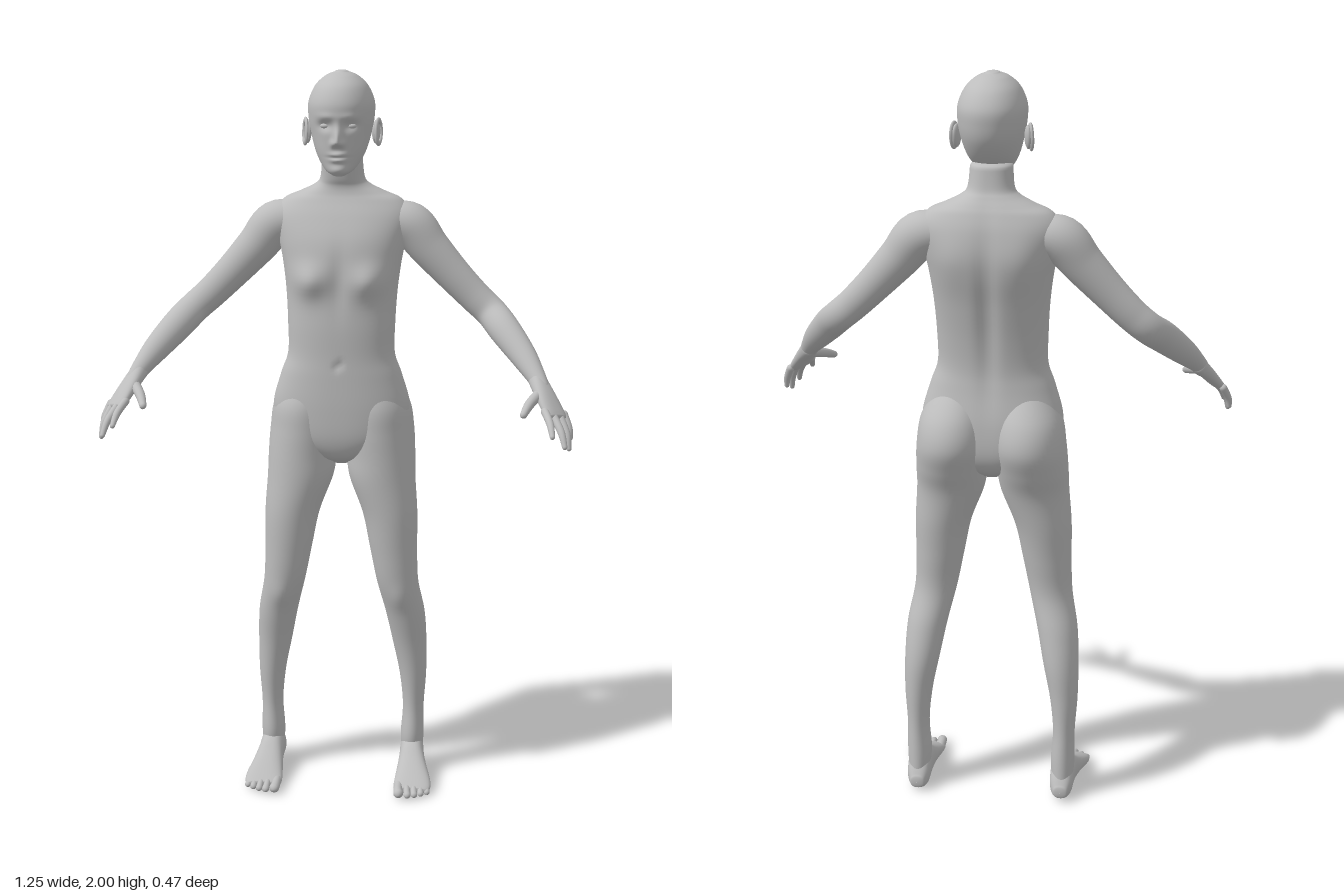
import * as THREE from 'three';

const V = (x, y, z) => new THREE.Vector3(x, y, z);
const skin = new THREE.MeshStandardMaterial({ color: 0xbdbdbd });
skin.name = 'grey skin';

// Catmull-Rom blend of one number through four rows
function blend(a, b, c, d, t) {
  return 0.5 * (2 * b + (c - a) * t + (2 * a - 5 * b + 4 * c - d) * t * t + (3 * b - a - 3 * c + d) * t * t * t);
}

// Smooth skin through rows [x, y, z, radius along u, radius across u].
// A fixed axis keeps every slice parallel; otherwise slices follow the path.
function loft(rows, u, { axis = null, seg = 32, steps = 6, cap = 1, power = 2, rule = null } = {}) {
  const path = [];
  const n = rows.length - 1;
  const row = (i) => rows[Math.max(0, Math.min(n, i))];
  for (let k = 0; k <= n * steps; k++) {
    const i = Math.min(n - 1, Math.floor(k / steps));
    const t = k / steps - i;
    path.push(row(i).map((_, c) => blend(row(i - 1)[c], row(i)[c], row(i + 1)[c], row(i + 2)[c], t)));
  }
  const rings = path.map((r, i) => {
    const a = path[Math.max(0, i - 1)], b = path[Math.min(path.length - 1, i + 1)];
    const t = axis ? axis.clone() : V(b[0] - a[0], b[1] - a[1], b[2] - a[2]).normalize();
    return { c: V(r[0], r[1], r[2]), t, a: r[3], b: r[4] };
  });
  // Rounded ends
  const end = (ring, sign) => [0.35, 0.7, 1.05, 1.35, 1.55].map((w) => ({
    c: ring.c.clone().addScaledVector(ring.t, sign * cap * Math.min(ring.a, ring.b) * Math.sin(w)),
    t: ring.t, a: ring.a * Math.cos(w), b: ring.b * Math.cos(w),
  }));
  const all = [...end(rings[0], -1).reverse(), ...rings, ...end(rings[rings.length - 1], 1)];
  const pos = [], idx = [];
  const bulge = (x) => Math.sign(x) * Math.pow(Math.abs(x), 2 / power);
  all.forEach((r, j) => {
    const v = r.t.clone().cross(u).normalize();
    const w = v.clone().cross(r.t);
    for (let i = 0; i < seg; i++) {
      const q = (i / seg) * Math.PI * 2;
      const p = r.c.clone().addScaledVector(w, r.a * bulge(Math.cos(q))).addScaledVector(v, r.b * bulge(Math.sin(q)));
      if (rule) rule(p);
      pos.push(p.x, p.y, p.z);
      if (j < all.length - 1) {
        const a = j * seg + i, b = j * seg + (i + 1) % seg;
        idx.push(a, b, b + seg, a, b + seg, a + seg);
      }
    }
  });
  const g = new THREE.BufferGeometry();
  g.setAttribute('position', new THREE.Float32BufferAttribute(pos, 3));
  g.setIndex(idx);
  g.computeVertexNormals();
  return g;
}

// Horizontal slice from [y, centre x, half width, front z, back z]
const slice = ([y, x, rx, zf, zb]) => [x, y, (zf + zb) / 2, rx, (zf - zb) / 2];
// Soft bump of height 1 centred on (x, y)
const bump = (p, x, y, sx, sy) => Math.exp(-(((p.x - x) / sx) ** 2) - (((p.y - y) / sy) ** 2));
const pair = (p, x, y, sx, sy) => bump(p, x, y, sx, sy) + bump(p, -x, y, sx, sy);

function mirrored(geo) {
  const g = geo.clone().scale(-1, 1, 1);
  const ix = g.index.array;
  for (let i = 0; i < ix.length; i += 3) [ix[i], ix[i + 1]] = [ix[i + 1], ix[i]];
  g.computeVertexNormals();
  return g;
}

function ellipsoid(x, y, z, rx, ry, rz) {
  return new THREE.SphereGeometry(1, 24, 16).scale(rx, ry, rz).translate(x, y, z);
}

export function createModel() {
  const model = new THREE.Group();
  model.name = 'figure';
  const add = (name, geo) => {
    const m = new THREE.Mesh(geo, skin);
    m.name = name;
    model.add(m);
  };
  const both = (name, geo) => {
    add('left ' + name, geo);
    add('right ' + name, mirrored(geo));
  };
  const X = V(1, 0, 0), Y = V(0, 1, 0), Z = V(0, 0, 1);

  // Torso and neck, with chest, spine groove and navel
  add('torso', loft([
    [1.77, 0, 0.054, -0.055, -0.165], [1.72, 0, 0.059, -0.068, -0.173], [1.70, 0, 0.075, -0.075, -0.183],
    [1.68, 0, 0.115, -0.073, -0.196], [1.66, 0, 0.158, -0.064, -0.207], [1.62, 0, 0.182, -0.042, -0.221],
    [1.56, 0, 0.172, -0.016, -0.229], [1.50, 0, 0.160, -0.005, -0.224], [1.42, 0, 0.150, -0.004, -0.206],
    [1.33, 0, 0.145, 0, -0.188], [1.25, 0, 0.145, 0, -0.179], [1.19, 0, 0.165, 0.002, -0.183],
    [1.10, 0, 0.187, 0.004, -0.198], [1.02, 0, 0.165, 0, -0.198], [0.97, 0, 0.085, -0.02, -0.175],
    [0.945, 0, 0.03, -0.06, -0.14],
  ].map(slice), X, {
    axis: V(0, -1, 0), seg: 96, cap: 0.3, power: 2.25,
    rule: (p) => {
      if (p.z > -0.06) {
        p.z += 0.026 * pair(p, 0.08, 1.455, 0.045, 0.042) - 0.006 * bump(p, 0, 1.46, 0.02, 0.08);
        p.z -= 0.008 * bump(p, 0, 1.23, 0.009, 0.012);
      } else if (p.z < -0.13) {
        p.z += 0.013 * bump(p, 0, 1.4, 0.024, 0.2) - 0.008 * pair(p, 0.09, 1.55, 0.05, 0.07);
      }
    },
  }));

  // Legs, whose rounded tops form the seat
  both('leg', loft([
    [1.18, 0.088, 0.06, -0.03, -0.165], [1.11, 0.098, 0.088, -0.004, -0.222], [1.04, 0.102, 0.096, 0, -0.24],
    [0.97, 0.108, 0.095, 0, -0.216], [0.90, 0.114, 0.091, 0, -0.186], [0.80, 0.136, 0.076, -0.003, -0.168],
    [0.70, 0.147, 0.066, -0.01, -0.153], [0.60, 0.159, 0.058, -0.02, -0.145], [0.50, 0.180, 0.055, -0.045, -0.168],
    [0.40, 0.193, 0.048, -0.07, -0.184], [0.30, 0.203, 0.038, -0.085, -0.184], [0.20, 0.205, 0.030, -0.095, -0.181],
    [0.11, 0.203, 0.033, -0.09, -0.184], [0.05, 0.203, 0.029, -0.1, -0.186],
  ].map(slice), X, {
    axis: V(0, -1, 0), seg: 48, cap: 0.4,
    rule: (p) => { if (p.z > -0.06) p.z += 0.006 * bump(p, 0.165, 0.56, 0.03, 0.035); },
  }));

  // Feet: rows [z, centre x, half width, bottom, top]
  both('foot', loft([
    [-0.195, 0.202, 0.02, 0.012, 0.05], [-0.17, 0.202, 0.031, 0, 0.085], [-0.13, 0.203, 0.034, 0, 0.11],
    [-0.09, 0.205, 0.036, 0, 0.097], [-0.05, 0.208, 0.042, 0.003, 0.072], [0, 0.212, 0.051, 0, 0.046],
    [0.03, 0.212, 0.052, 0.001, 0.031], [0.045, 0.211, 0.045, 0.004, 0.023],
  ].map(([z, x, rx, lo, hi]) => [x, (lo + hi) / 2, z, rx, (hi - lo) / 2]), X, { axis: Z, cap: 0.25, power: 2.3 }));
  [[0.174, 0.083, 0.014], [0.199, 0.08, 0.01], [0.218, 0.074, 0.0095], [0.236, 0.064, 0.009], [0.253, 0.052, 0.0085]]
    .forEach(([x, z, r], i) => both('toe ' + (i + 1), loft([
      [x, 0.018, 0.015, r * 0.9, r * 0.9], [x, 0.017, z - 0.03, r * 0.9, r * 0.9],
      [x + 0.002, r + 0.001, z - r, r, r * 0.95],
    ], X, { seg: 16 })));

  // Arms, bent at the elbow and reaching forward
  both('arm', loft([
    [0.11, 1.605, -0.135, 0.055, 0.045], [0.18, 1.592, -0.135, 0.062, 0.06], [0.235, 1.53, -0.13, 0.053, 0.054],
    [0.30, 1.46, -0.125, 0.044, 0.047], [0.36, 1.40, -0.12, 0.039, 0.043], [0.403, 1.362, -0.108, 0.039, 0.042],
    [0.44, 1.325, -0.06, 0.039, 0.042], [0.49, 1.27, 0, 0.032, 0.035], [0.525, 1.225, 0.05, 0.024, 0.025],
    [0.54, 1.2, 0.075, 0.022, 0.021],
  ], Z, { cap: 0.5 }));

  // Hands: palm, four fingers and thumb
  const across = V(-0.047, 0.015, 0.05).normalize();
  both('palm', loft([
    [0.528, 1.218, 0.055, 0.024, 0.022], [0.55, 1.185, 0.095, 0.034, 0.018],
    [0.571, 1.152, 0.126, 0.039, 0.014], [0.579, 1.141, 0.137, 0.036, 0.011],
  ], across, { cap: 0.6, power: 2.3 }));
  const digits = {
    'index finger': [[0.548, 1.158, 0.148], [0.561, 1.137, 0.195], [0.567, 1.112, 0.228]],
    'middle finger': [[0.569, 1.147, 0.142], [0.59, 1.113, 0.18], [0.6, 1.079, 0.203]],
    'ring finger': [[0.587, 1.14, 0.125], [0.606, 1.1, 0.153], [0.612, 1.065, 0.165]],
    'little finger': [[0.598, 1.14, 0.102], [0.612, 1.107, 0.118], [0.616, 1.082, 0.124]],
    thumb: [[0.538, 1.195, 0.088], [0.509, 1.176, 0.145], [0.493, 1.158, 0.19]],
  };
  for (const [name, [a, b, c]] of Object.entries(digits)) {
    const r = name === 'thumb' ? 0.013 : 0.0095;
    both(name, loft([[...a, r * 1.1, r * 1.1], [...b, r, r], [...c, r * 0.72, r * 0.7]], across, { seg: 14 }));
  }

  // Head, with brow, eye sockets, nose, lips and chin pushed out of the front
  add('head', loft([
    [1.737, 0, 0.018, 0.004, -0.045], [1.747, 0, 0.036, 0.011, -0.085], [1.77, 0, 0.054, 0.013, -0.135],
    [1.80, 0, 0.068, 0.017, -0.172], [1.84, 0, 0.079, 0.02, -0.2], [1.88, 0, 0.086, 0.026, -0.211],
    [1.92, 0, 0.086, 0.027, -0.211], [1.96, 0, 0.069, 0.007, -0.187], [1.985, 0, 0.043, -0.028, -0.15],
    [1.996, 0, 0.018, -0.06, -0.115],
  ].map(slice), X, {
    axis: Y, seg: 144, steps: 9, cap: 0.22, power: 2.1,
    rule: (p) => {
      const front = THREE.MathUtils.smoothstep(p.z, -0.06, -0.01);
      const drop = p.y > 1.824 ? 0.034 : 0.01;
      p.z += front * (
        0.026 * bump(p, 0, 1.824, 0.011, drop) + 0.009 * pair(p, 0.012, 1.82, 0.008, 0.009)
        - 0.012 * pair(p, 0.033, 1.865, 0.02, 0.013) + 0.004 * pair(p, 0.03, 1.888, 0.025, 0.009)
        + 0.008 * bump(p, 0, 1.792, 0.02, 0.006) + 0.008 * bump(p, 0, 1.777, 0.018, 0.006)
        - 0.004 * bump(p, 0, 1.7845, 0.024, 0.0025) + 0.005 * bump(p, 0, 1.752, 0.02, 0.01));
    },
  }));
  both('eye', ellipsoid(0.033, 1.864, -0.003, 0.0145, 0.008, 0.012));

  // Ears: flat shell with a raised rim
  const tilt = (g) => g.rotateY(-0.35).rotateX(-0.2).translate(0.09, 1.84, -0.1);
  both('ear', tilt(ellipsoid(0, 0, 0, 0.009, 0.031, 0.018)));
  both('ear rim', tilt(new THREE.TorusGeometry(0.017, 0.0045, 10, 32).scale(1, 1.75, 1).rotateY(Math.PI / 2).translate(0.007, 0, 0)));

  return model;
}
